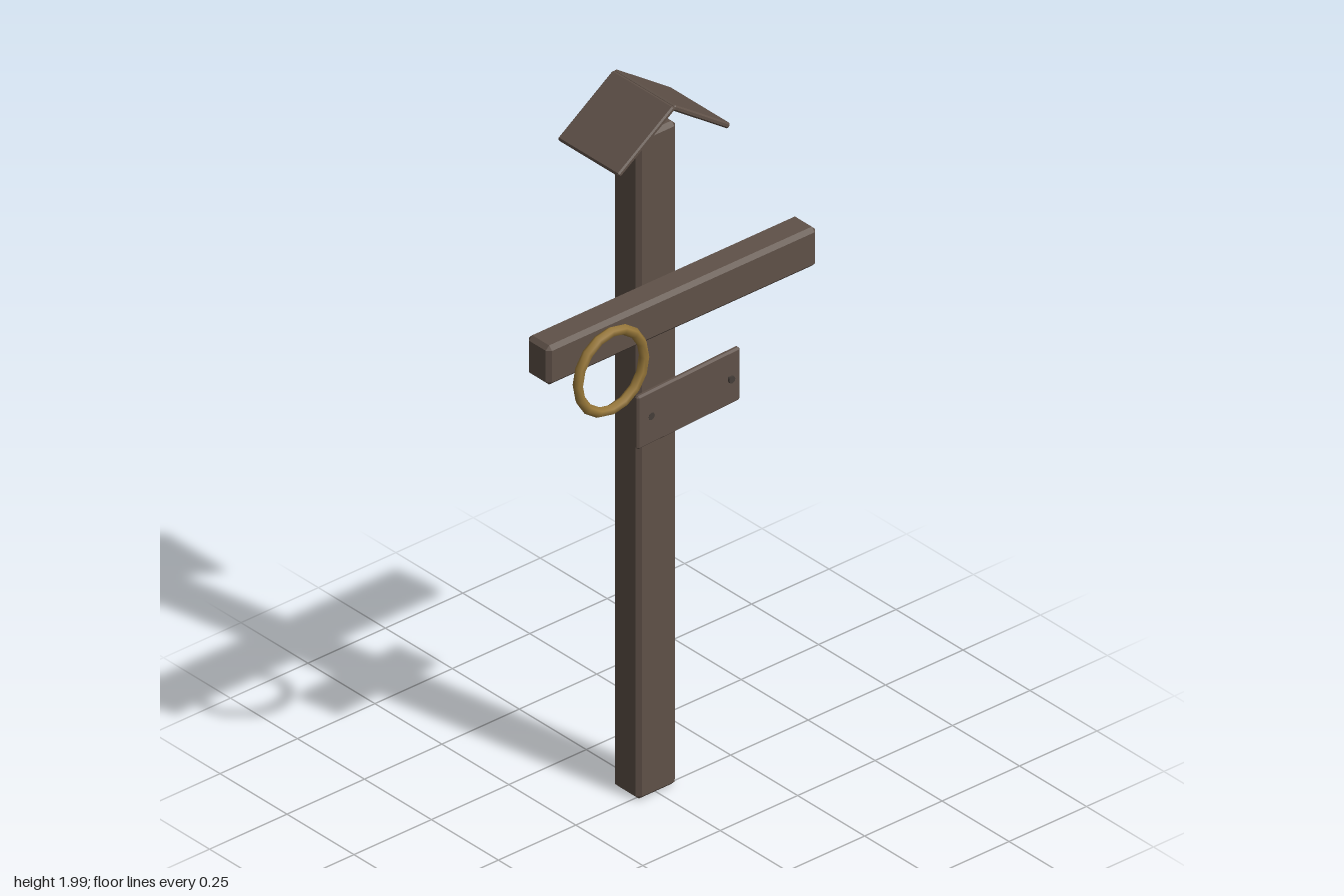
import * as THREE from 'three';
import { ConvexGeometry } from 'three/addons/geometries/ConvexGeometry.js';

const wood = new THREE.MeshStandardMaterial({ color: 0x5f5148 });
wood.name = 'weathered wood';
const brass = new THREE.MeshStandardMaterial({ color: 0x98783a });
brass.name = 'old brass';
const iron = new THREE.MeshStandardMaterial({ color: 0x453e39 });
iron.name = 'dark iron';

// Box with flat chamfers of width c on every edge
function chamferBox(w, h, d, c) {
  const points = [];
  const half = [w / 2, h / 2, d / 2];
  for (const sx of [-1, 1]) for (const sy of [-1, 1]) for (const sz of [-1, 1]) {
    for (let full = 0; full < 3; full++) {
      const p = half.map((v, i) => (i === full ? v : v - c));
      points.push(new THREE.Vector3(sx * p[0], sy * p[1], sz * p[2]));
    }
  }
  return new ConvexGeometry(points);
}

export function createModel() {
  const model = new THREE.Group();
  model.name = 'waysideCross';

  const add = (name, geometry, material, x, y, z, parent = model) => {
    const mesh = new THREE.Mesh(geometry, material);
    mesh.name = name;
    mesh.position.set(x, y, z);
    parent.add(mesh);
    return mesh;
  };

  // Upright post and the beam mounted in front of it
  add('post', chamferBox(0.127, 1.9, 0.098, 0.011), wood, 0, 0.95, -0.031);
  add('crossbeam', chamferBox(0.87, 0.112, 0.085, 0.011), wood, 0, 1.435, 0.07);

  // Two sloping boards meeting at the ridge
  const run = 0.18, drop = 0.125, thick = 0.015;
  const slope = Math.atan2(drop, run);
  const length = Math.hypot(run, drop);
  for (const side of [-1, 1]) {
    const board = add(side > 0 ? 'leftRoofBoard' : 'rightRoofBoard',
      chamferBox(length, thick, 0.228, 0.004), wood,
      side * (run / 2 - 0.001), 1.993 - drop / 2 - 0.002, -0.034);
    board.rotation.z = -side * slope;
  }

  // Slightly turned name board
  const plaque = add('plaque', chamferBox(0.345, 0.152, 0.016, 0.005), wood, -0.003, 1.186, 0.13);
  plaque.rotation.y = 0.045;

  // Nails through the name board
  for (const x of [-0.13, 0.13]) {
    const nail = new THREE.Group();
    nail.name = 'nail';
    nail.position.set(x, 1.19, 0);
    model.add(nail);
    const head = add('nailHead', new THREE.CylinderGeometry(0.01, 0.01, 0.005, 8), iron, 0, 0, 0.1425, nail);
    const shaft = add('nailShaft', new THREE.CylinderGeometry(0.004, 0.004, 0.02, 6), iron, 0, 0, 0.131, nail);
    head.rotation.x = shaft.rotation.x = Math.PI / 2;
  }

  // Ring hanging from the right arm
  const ring = add('ring', new THREE.TorusGeometry(0.107, 0.0135, 6, 16), brass, -0.248, 1.36, 0.129);
  ring.scale.y = 1.04;

  return model;
}
